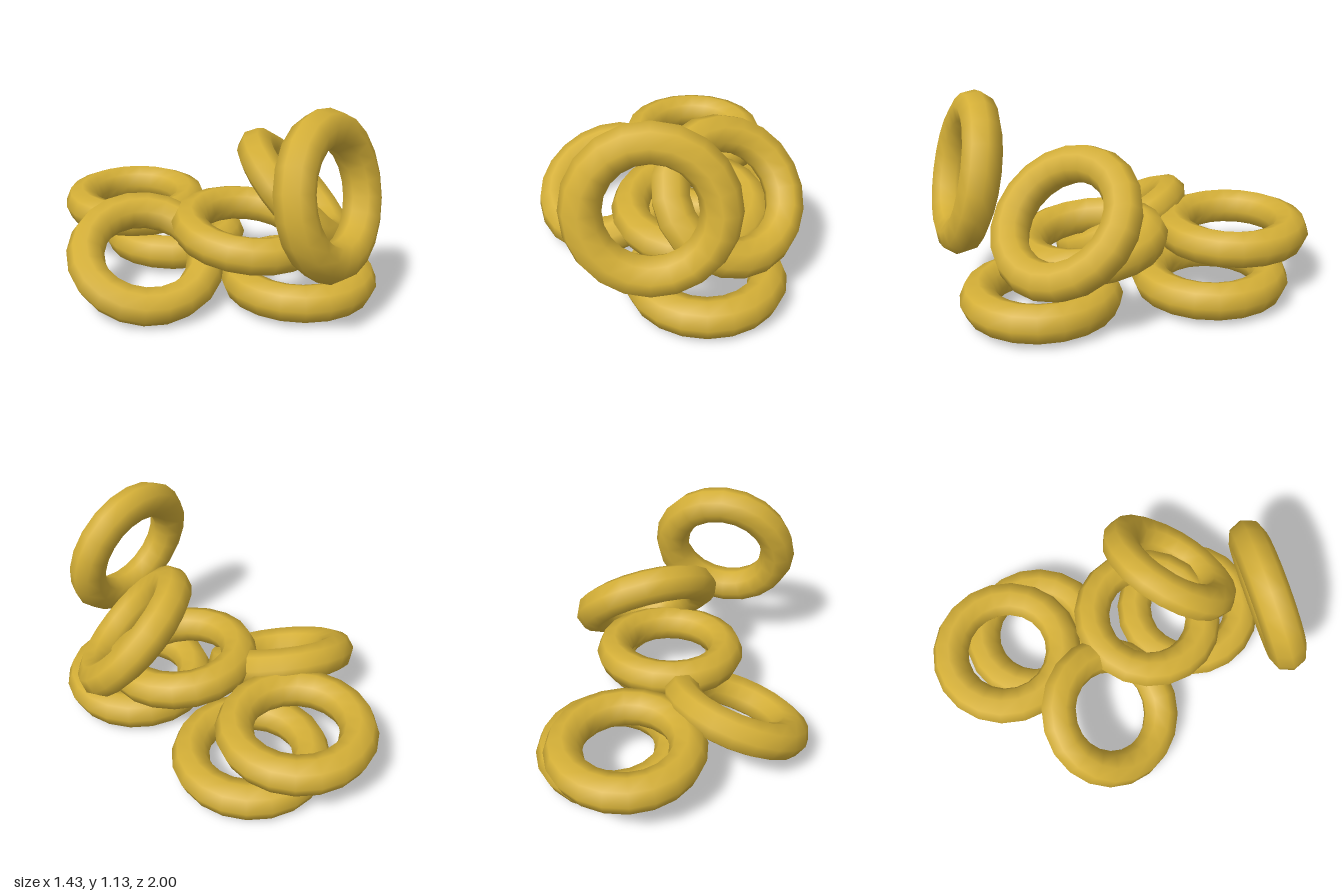
import * as THREE from 'three';

export function createModel() {
  const group = new THREE.Group();
  const gold = new THREE.MeshStandardMaterial({ color: 0xd4af37 });
  gold.name = 'gold';

  // One ring shape shared by the whole pile
  const ringShape = new THREE.TorusGeometry(0.32, 0.1, 8, 20);
  const ringAxis = new THREE.Vector3(0, 0, 1);

  // Each ring: name, centre, direction of its axis
  const rings = [
    ['backLowerRing', [0.3, 0.12, -0.39], [0, 1, 0]],
    ['backUpperRing', [0.17, 0.32, -0.58], [0, 1, 0]],
    ['frontLowerRing', [0.21, 0.12, 0.52], [0, 1, 0]],
    ['sideLeaningRing', [-0.315, 0.258, -0.107], [-0.28, 0.878, 0.385]],
    ['middleRing', [0.14, 0.353, 0.24], [0, 0.994, 0.11]],
    ['tiltedRing', [0.322, 0.55, 0.418], [0.4, 0.68, 0.615]],
    ['uprightRing', [-0.057, 0.735, 0.825], [0, 0.234, 0.972]],
  ];

  for (const [name, centre, axis] of rings) {
    const ring = new THREE.Mesh(ringShape, gold);
    ring.name = name;
    ring.position.set(...centre);
    ring.quaternion.setFromUnitVectors(ringAxis, new THREE.Vector3(...axis).normalize());
    group.add(ring);
  }
  return group;
}
